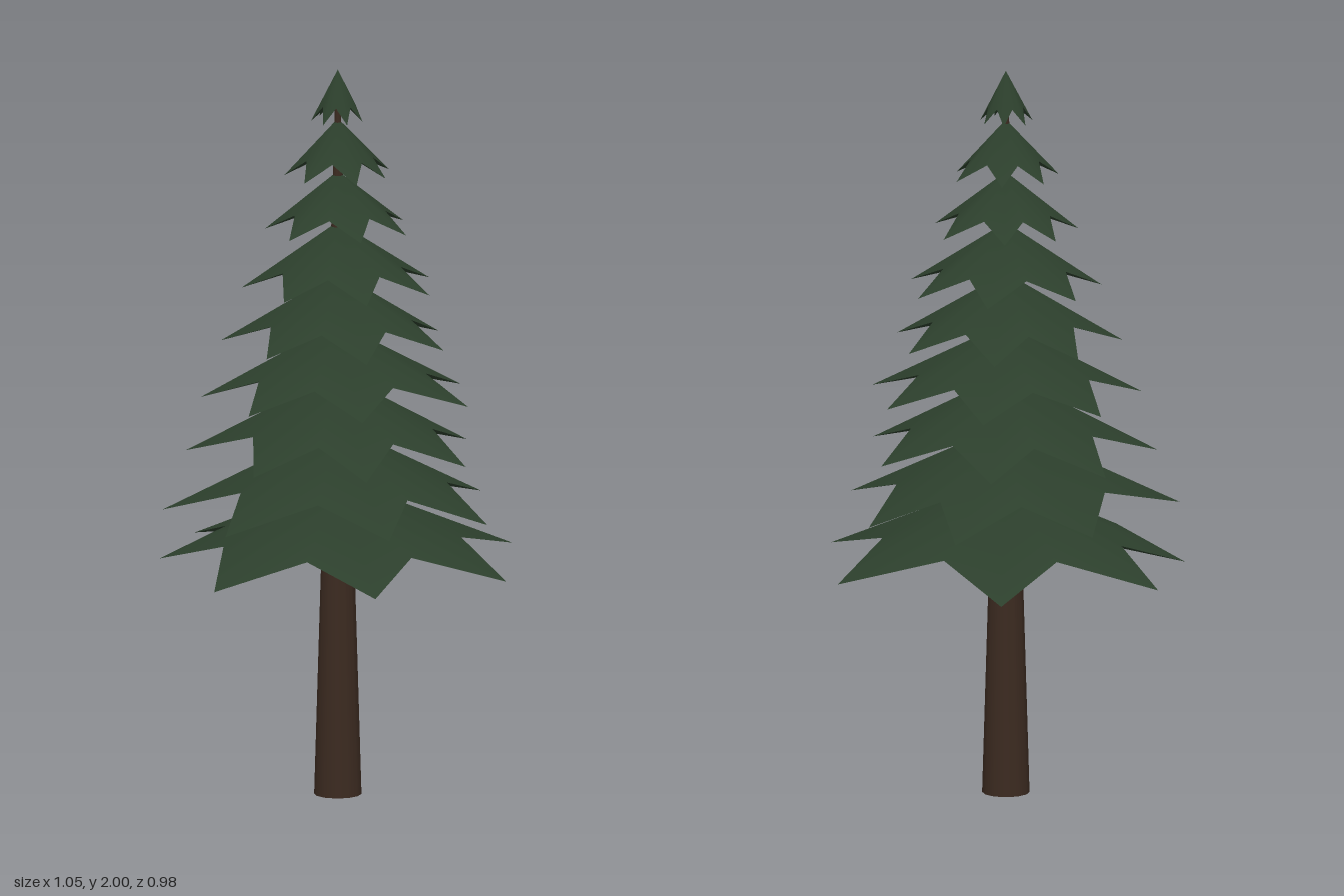
import * as THREE from 'three';

const POINTS = 7;
const DEG = Math.PI / 180;

// Per tier: [apex y, tip y, radius]
const TIERS = [
  [0.87, 0.64, 0.52], [1.02, 0.79, 0.46], [1.16, 0.945, 0.4],
  [1.3, 1.1, 0.37], [1.44, 1.25, 0.31], [1.58, 1.4, 0.265],
  [1.72, 1.56, 0.2], [1.865, 1.71, 0.148], [2.0, 1.86, 0.075],
];

// Tip directions (degrees, 90 = front) and reach of the two widest tiers
const TIP_ANGLES = [
  [97, 44, -5, -61, -118.5, -170, 151],
  [95, 38, -5, -63, -103, -153, 143],
];
const TIP_REACH = [
  [0.98, 0.93, 1, 1.02, 1.03, 1.03, 0.93],
  [1.05, 0.97, 1, 0.96, 1.02, 0.93, 1.03],
];

function seeded(seed) {
  let s = seed;
  return () => (s = (s * 16807) % 2147483647) / 2147483647;
}

// Star-shaped fan from a hub to the rim, facing up or down
function starFan(hubY, rim, up) {
  const pos = [0, hubY, 0];
  const index = [];
  rim.forEach((p) => pos.push(p.x, p.y, p.z));
  for (let i = 0; i < rim.length; i++) {
    const a = i + 1, b = ((i + 1) % rim.length) + 1;
    index.push(0, ...(up ? [a, b] : [b, a]));
  }
  const g = new THREE.BufferGeometry();
  g.setAttribute('position', new THREE.Float32BufferAttribute(pos, 3));
  g.setIndex(index);
  g.computeVertexNormals();
  return g;
}

export function createModel() {
  const tree = new THREE.Group();
  tree.name = 'pineTree';
  const bark = new THREE.MeshStandardMaterial({ color: 0x3b2a20 });
  const needles = new THREE.MeshStandardMaterial({ color: 0x2c3f2c, side: THREE.DoubleSide });
  const rand = seeded(4711);

  // Tapered trunk running up into the top tier
  const trunk = new THREE.Mesh(new THREE.CylinderGeometry(0.008, 0.064, 1.9, 12), bark);
  trunk.name = 'trunk';
  trunk.position.y = 0.95;
  tree.add(trunk);

  // Overlapping branch tiers, each a drooping seven-pointed star
  TIERS.forEach(([apexY, tipY, radius], t) => {
    const height = apexY - tipY;
    const angles = [], reach = [];
    for (let i = 0; i < POINTS; i++) {
      const regular = 97 - t - (i * 360) / POINTS;
      angles.push(TIP_ANGLES[t] ? TIP_ANGLES[t][i] : regular + (rand() - 0.5) * 10);
      reach.push(TIP_REACH[t] ? TIP_REACH[t][i] : 0.94 + rand() * 0.1);
    }
    const rim = [];
    for (let i = 0; i < POINTS; i++) {
      const here = angles[i];
      let next = angles[(i + 1) % POINTS];
      while (next > here) next -= 360;
      const add = (deg, r, y) => rim.push(
        new THREE.Vector3(Math.cos(deg * DEG) * r, y, Math.sin(deg * DEG) * r));
      add(here, radius * reach[i], tipY);
      // Raised notch between neighbouring tips
      add((here + next) / 2, radius * 0.64, tipY + height * 0.3);
    }
    const tier = new THREE.Group();
    tier.name = `branchTier${t + 1}`;
    const top = new THREE.Mesh(starFan(apexY, rim, true), needles);
    top.name = 'branchTop';
    const under = new THREE.Mesh(starFan(tipY + height * 0.45, rim, false), needles);
    under.name = 'branchUnderside';
    tier.add(top, under);
    tree.add(tier);
  });

  tree.position.set(0.003, 0, -0.012);
  const model = new THREE.Group();
  model.add(tree);
  return model;
}
